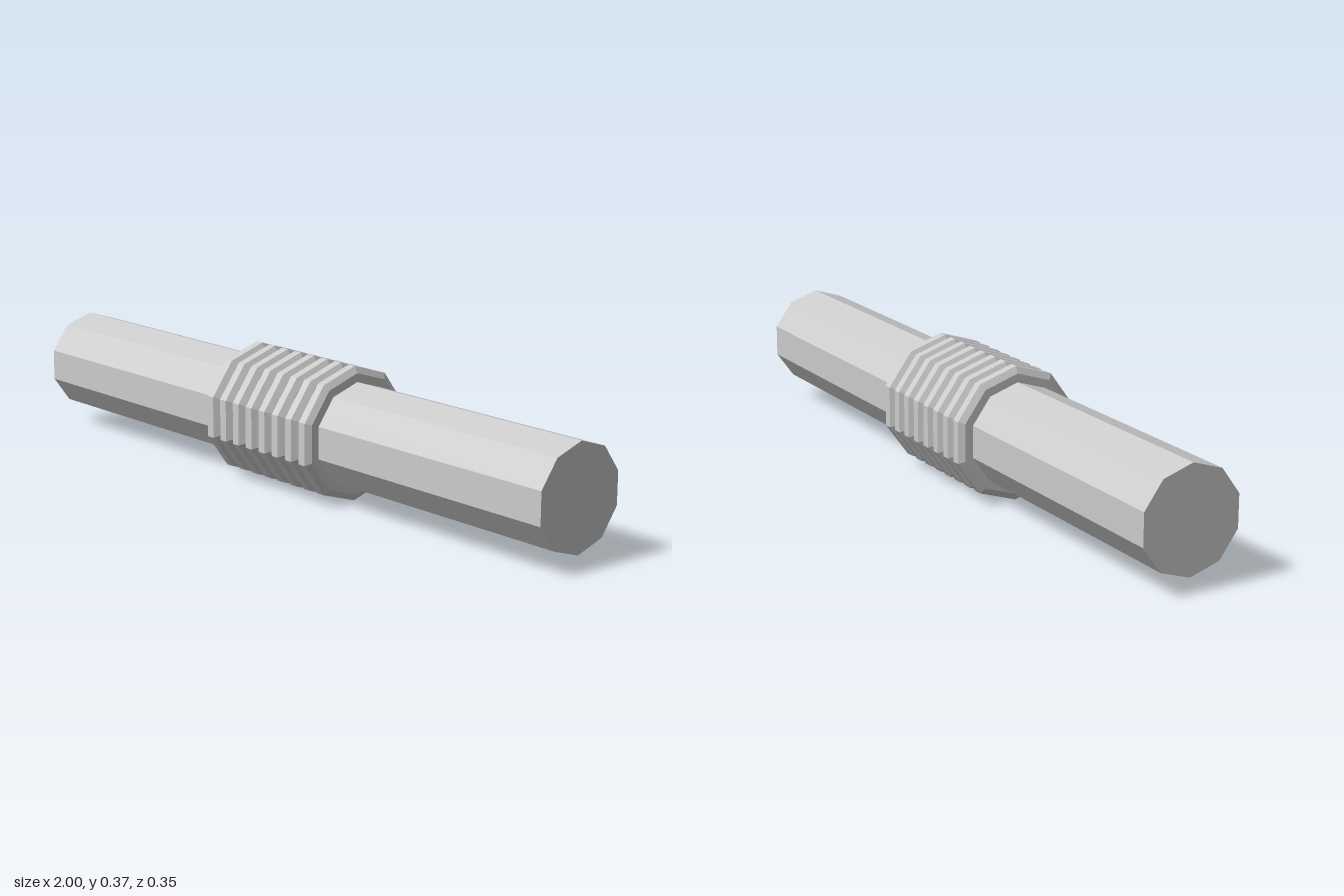
import * as THREE from 'three';

const SIDES = 10, AXIS_Y = 0.186;
const ROD_R = 0.143, RING_R = 0.185, RING_EDGE_R = 0.167;
const RINGS = 8, RING_W = 0.044, CHAMFER = 0.01, SPAN = 0.424;

// Lay an upright ten-sided solid along x with a corner pointing straight up
const layAlongX = (geometry) => geometry.rotateY(Math.PI / 2).rotateZ(Math.PI / 2);

export function createModel() {
  const group = new THREE.Group();
  const material = new THREE.MeshStandardMaterial({ color: 0xcccccc, flatShading: true });

  const add = (name, geometry, x = 0) => {
    const mesh = new THREE.Mesh(geometry, material);
    mesh.name = name;
    mesh.position.set(x, AXIS_Y, 0);
    group.add(mesh);
  };

  // Long straight rod
  add('rod', layAlongX(new THREE.CylinderGeometry(ROD_R, ROD_R, 2, SIDES)));

  // Chamfered grip rings side by side around the middle
  const h = RING_W / 2;
  const profile = [
    [ROD_R, -h], [RING_EDGE_R, -h], [RING_R, -h + CHAMFER],
    [RING_R, h - CHAMFER], [RING_EDGE_R, h], [ROD_R, h],
  ].map(([r, y]) => new THREE.Vector2(r, y));
  const ring = layAlongX(new THREE.LatheGeometry(profile, SIDES));
  const pitch = (SPAN - RING_W) / (RINGS - 1);
  for (let i = 0; i < RINGS; i++) {
    add(`gripRing${i + 1}`, ring, (i - (RINGS - 1) / 2) * pitch);
  }

  return group;
}
